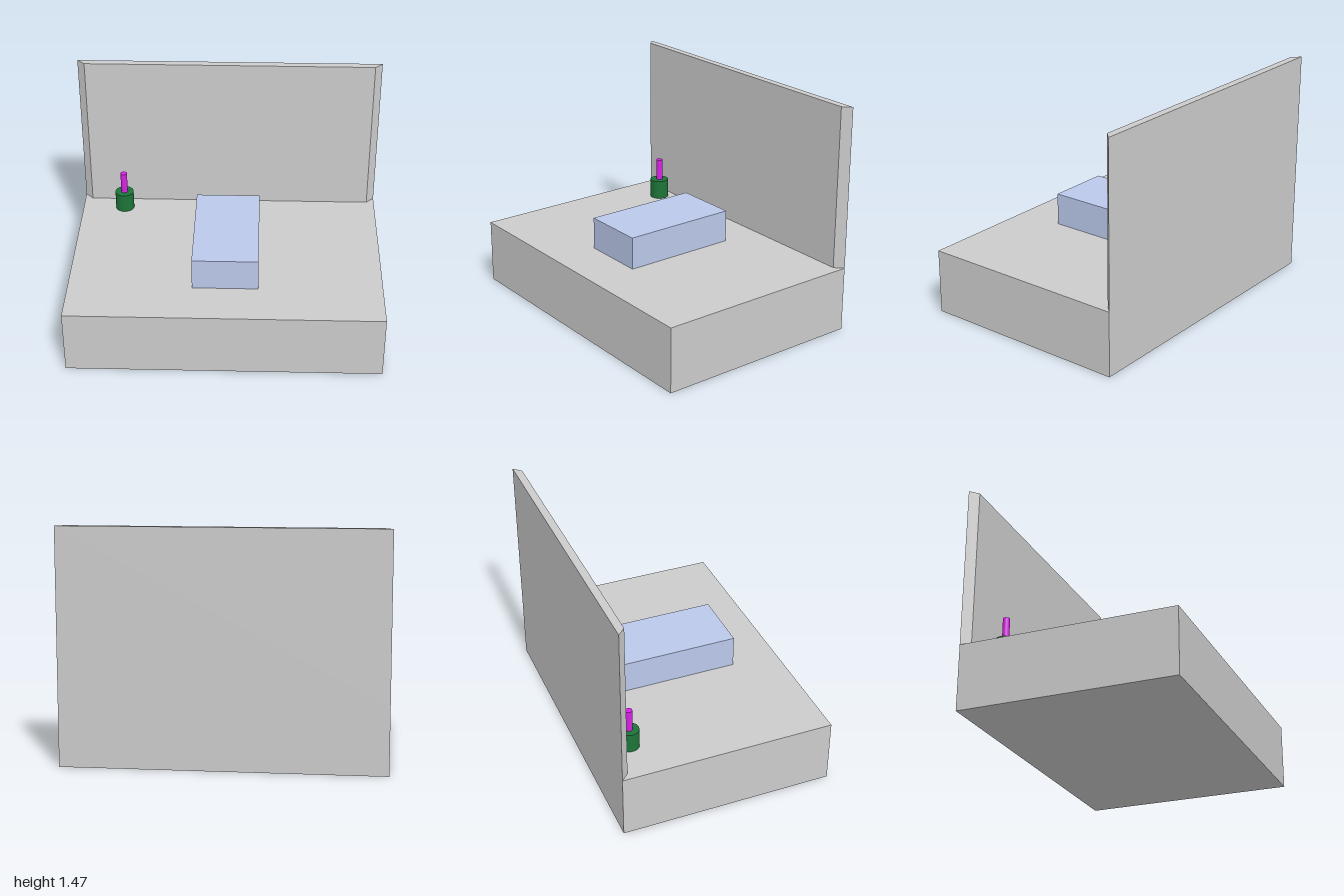
import * as THREE from 'three';

const BASE_TOP = 0.42;

function createPart(name, geometry, color, x = 0, y = 0, z = 0) {
  const mesh = new THREE.Mesh(geometry, new THREE.MeshStandardMaterial({ color }));
  mesh.name = name;
  mesh.position.set(x, y, z);
  return mesh;
}

export function createModel() {
  const model = new THREE.Group();
  model.name = 'backedPlatform';

  // Solid platform
  model.add(createPart('platform', new THREE.BoxGeometry(2, BASE_TOP, 1.37), 0xcccccc, 0, BASE_TOP / 2, 0));

  // Back wall: plan with mitred ends, extruded upward
  const plan = new THREE.Shape([
    new THREE.Vector2(-0.95, 0.635),
    new THREE.Vector2(0.95, 0.635),
    new THREE.Vector2(1, 0.685),
    new THREE.Vector2(-1, 0.685),
  ]);
  const wall = new THREE.ExtrudeGeometry(plan, { depth: 1.05, bevelEnabled: false });
  wall.rotateX(-Math.PI / 2);
  model.add(createPart('backWall', wall, 0xcccccc, 0, BASE_TOP, 0));

  // Block in the middle of the platform
  model.add(createPart('centreBlock', new THREE.BoxGeometry(0.42, 0.21, 0.755), 0xbac8ea, 0, BASE_TOP + 0.105, 0));

  // Small stand in the back corner: wide pot and thin stem
  const stand = new THREE.Group();
  stand.name = 'cornerStand';
  stand.position.set(-0.715, BASE_TOP, -0.535);
  stand.add(
    createPart('pot', new THREE.CylinderGeometry(0.062, 0.062, 0.127, 32), 0x1c7438, 0, 0.0635, 0),
    createPart('stem', new THREE.CylinderGeometry(0.022, 0.022, 0.145, 32), 0xd622e4, 0, 0.1985, 0),
  );
  model.add(stand);

  return model;
}
